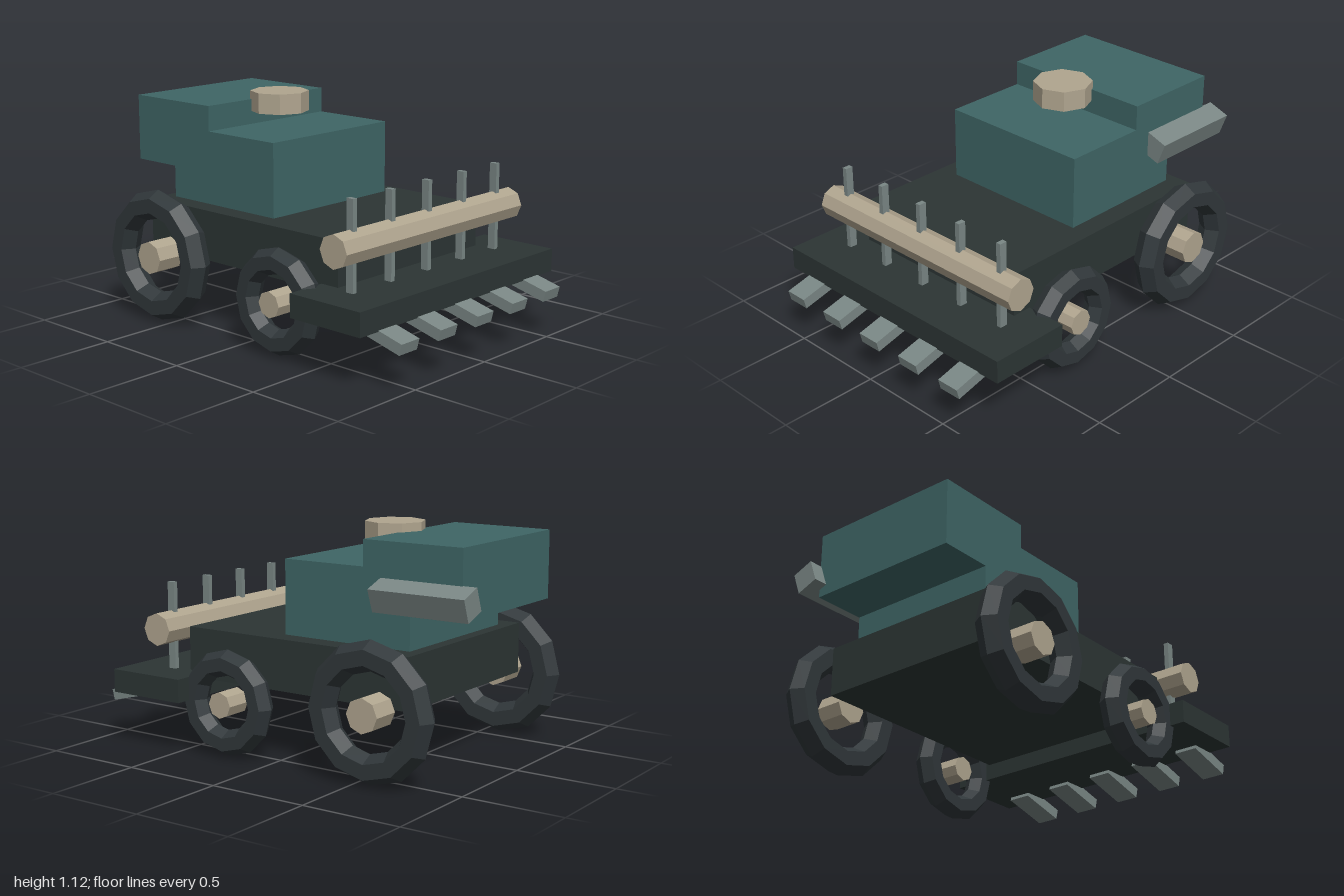
import * as THREE from 'three';

const material = (color) => new THREE.MeshStandardMaterial({ color, flatShading: true });

export function createModel() {
  const model = new THREE.Group();
  model.name = 'harvester';
  const teal = material(0x3f6666);
  const dark = material(0x2c3534);
  const tan = material(0xb0a58f);
  const steel = material(0x7a8785);
  const rubber = material(0x30373a);

  const add = (name, geometry, mat, x, y, z) => {
    const mesh = new THREE.Mesh(geometry, mat);
    mesh.name = name;
    mesh.position.set(x, y, z);
    model.add(mesh);
    return mesh;
  };
  // Box given by its width and its y and z ranges
  const block = (name, mat, width, y0, y1, z0, z1) =>
    add(name, new THREE.BoxGeometry(width, y1 - y0, z1 - z0), mat, 0, (y0 + y1) / 2, (z0 + z1) / 2);
  // Octagonal bar lying along x
  const bar = (name, r, length, x, y, z) =>
    add(name, new THREE.CylinderGeometry(r, r, length, 8).rotateZ(Math.PI / 2), tan, x, y, z);

  // Body
  block('chassis', dark, 1.02, 0.342, 0.592, -0.72, 0.55);
  block('cabin', teal, 0.808, 0.592, 0.957, -0.66, 0.04);
  block('grainTank', teal, 0.808, 0.75, 1.083, -0.93, -0.405);
  add('roofCap', new THREE.CylinderGeometry(0.148, 0.148, 0.102, 8), tan, 0, 1.074, -0.315);

  // Unloading chute on the left side
  const chute = add('chute', new THREE.BoxGeometry(0.117, 0.117, 0.5), steel, 0.435, 0.84, -0.75);
  chute.rotation.z = -0.35;

  // Header deck with reel, tines and cutting fingers
  block('headerDeck', dark, 1.436, 0.26, 0.375, 0.45, 0.868);
  bar('reel', 0.081, 1.29, 0, 0.586, 0.645);
  for (let i = -2; i <= 2; i++) {
    add('tine', new THREE.BoxGeometry(0.025, 0.444, 0.04), steel, i * 0.2625, 0.586, 0.645);
    const finger = add('cuttingFinger', new THREE.BoxGeometry(0.12, 0.055, 0.26), steel, i * 0.269, 0.237, 0.868);
    finger.rotation.x = 0.25;
  }

  // Wheels: faceted tyre rings around octagonal hubs
  const wheels = [
    { name: 'rear', x: 0.591, y: 0.335, z: -0.575, ring: 0.262, tube: 0.073, hub: 0.083, length: 0.145 },
    { name: 'front', x: 0.585, y: 0.264, z: 0.25, ring: 0.197, tube: 0.064, hub: 0.065, length: 0.135 },
  ];
  for (const w of wheels) {
    for (const side of [-1, 1]) {
      const tyre = new THREE.TorusGeometry(w.ring, w.tube, 6, 12).rotateY(Math.PI / 2);
      add(w.name + 'Tyre', tyre, rubber, side * w.x, w.y, w.z);
      bar(w.name + 'Hub', w.hub, w.length, side * w.x, w.y, w.z);
    }
  }
  return model;
}
